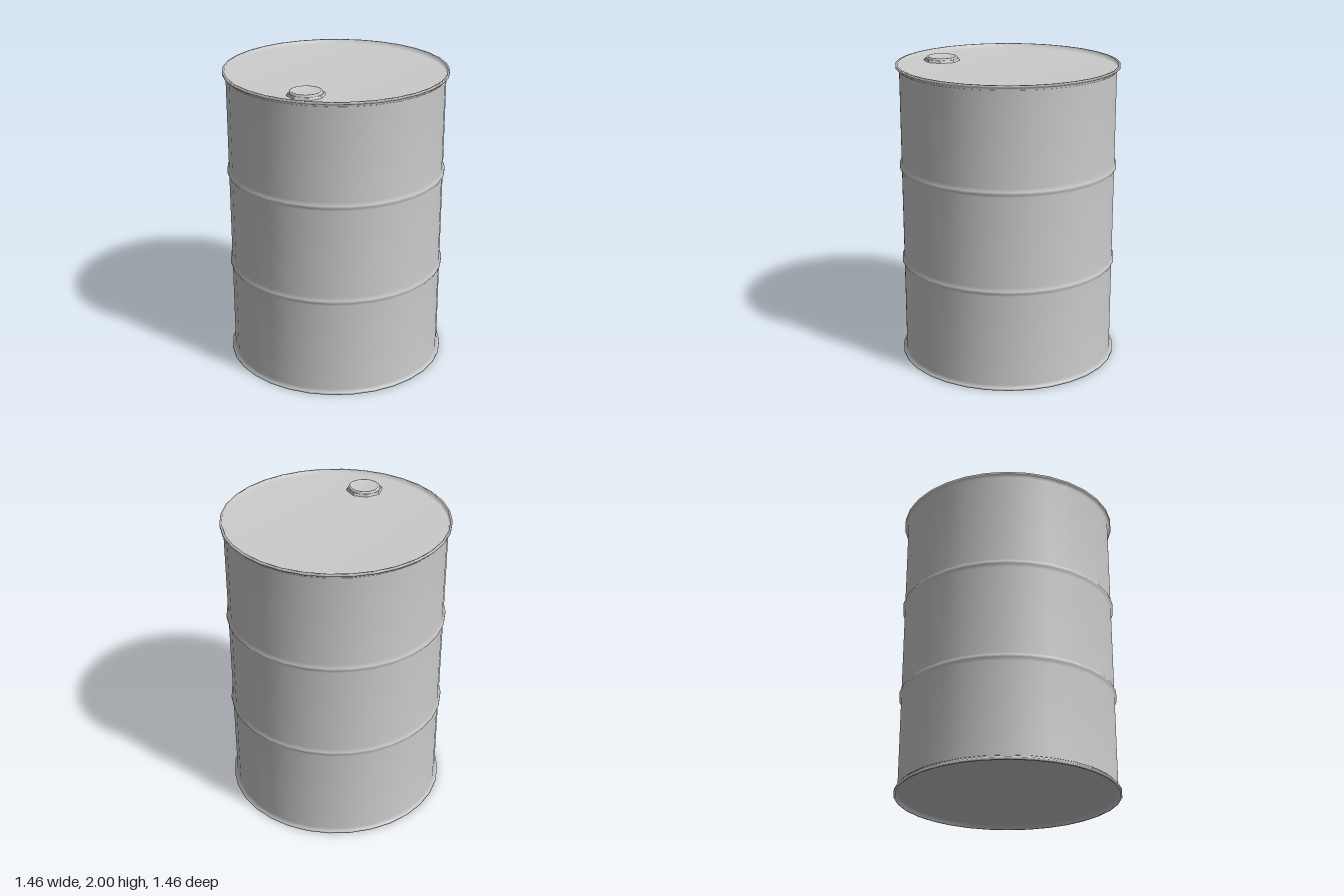
import * as THREE from 'three';

const SIDES = 32;
const material = new THREE.MeshStandardMaterial({ color: 0xcccccc });
const flatMaterial = new THREE.MeshStandardMaterial({ color: 0xcccccc, flatShading: true });

// Turned part from [radius, height] pairs
function turned(name, profile, sides, start = 0) {
  const points = profile.map(([r, y]) => new THREE.Vector2(r, y));
  const mesh = new THREE.Mesh(new THREE.LatheGeometry(points, sides, start), material);
  mesh.name = name;
  return mesh;
}

export function createModel() {
  const group = new THREE.Group();
  group.name = 'barrel';

  // Lower half of the shell: recessed base, lip, wall and rolling hoop
  const half = [
    [0, 0.032], [0.715, 0.032], [0.72, 0], [0.734, 0], [0.734, 0.014], [0.712, 0.028],
    [0.712, 0.645], [0.724, 0.665], [0.724, 0.682], [0.712, 0.702],
  ];
  // The upper half mirrors it
  const mirrored = half.map(([r, y]) => [r, 2 - y]).reverse();
  group.add(turned('shell', [...half, ...mirrored], SIDES, Math.PI / SIDES));

  // Filler cap near the front edge of the lid
  const cap = new THREE.Group();
  cap.name = 'fillerCap';
  cap.position.set(-0.012, 1.966, 0.51);

  const nut = new THREE.Mesh(
    new THREE.CylinderGeometry(0.115, 0.122, 0.018, 8, 1, false, THREE.MathUtils.degToRad(27)),
    flatMaterial
  );
  nut.name = 'capNut';
  nut.position.y = 0.009;
  cap.add(nut);

  // Round plug with a shallow dished top
  cap.add(turned('capPlug', [
    [0.106, 0.012], [0.104, 0.026], [0.099, 0.031], [0.091, 0.031], [0.086, 0.022], [0, 0.022],
  ], 24));
  group.add(cap);

  return group;
}
